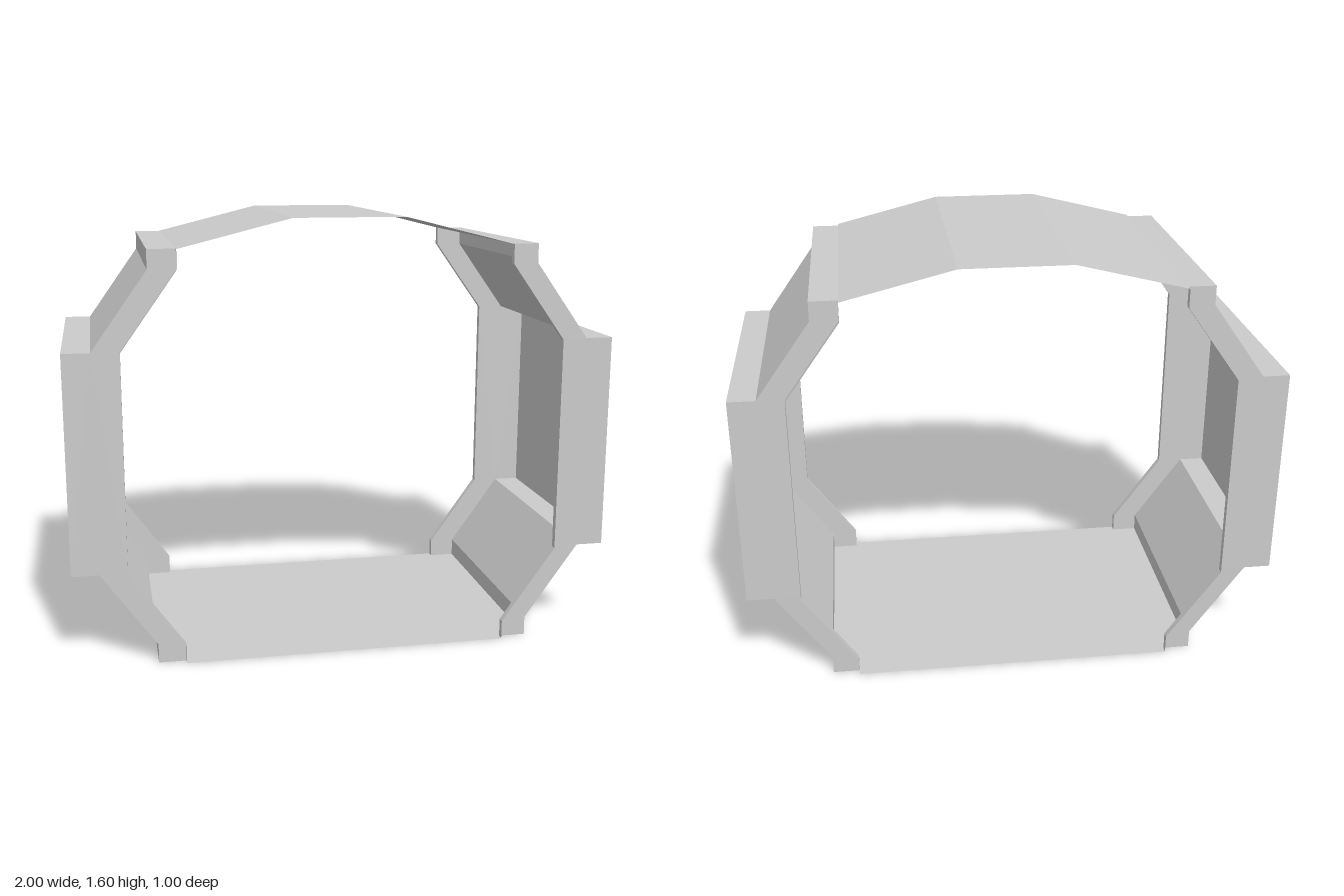
import * as THREE from 'three';

const material = new THREE.MeshStandardMaterial({ color: 0xcccccc, flatShading: true, side: THREE.DoubleSide });
const FULL = 0.5;    // half depth of the panels and lips
const CAP = 0.475;   // half depth of the side channels

// Profiles of the left side, from bottom to top, as [x, y]
const inner = [[0.6, 0], [0.6, 0.07], [0.8, 0.35], [0.8, 1.15], [0.6, 1.43], [0.6, 1.5]];
const outer = [[0.6, 0], [0.7, 0], [0.7, 0.07], [0.9, 0.35], [1, 0.35],
  [1, 1.15], [0.9, 1.15], [0.7, 1.43], [0.7, 1.5], [0.6, 1.5]];

// Thin folded sheet: a polyline in x, y swept from z0 to z1
function sheet(name, points, z0, z1) {
  const pos = [];
  for (let i = 0; i < points.length - 1; i++) {
    const [ax, ay] = points[i], [bx, by] = points[i + 1];
    pos.push(ax, ay, z1, ax, ay, z0, bx, by, z0);
    pos.push(ax, ay, z1, bx, by, z0, bx, by, z1);
  }
  const geo = new THREE.BufferGeometry();
  geo.setAttribute('position', new THREE.Float32BufferAttribute(pos, 3));
  geo.computeVertexNormals();
  const mesh = new THREE.Mesh(geo, material);
  mesh.name = name;
  return mesh;
}

// Hollow side channel, open towards the middle
function sideChannel(name, s) {
  const group = new THREE.Group();
  group.name = name;
  const flip = (pts) => {
    const out = pts.map(([x, y]) => [x * s, y]);
    return s < 0 ? out.reverse() : out;
  };
  group.add(sheet('outerSkin', flip(outer), -CAP, CAP));

  // End caps with a thin lip along their inner edge
  const outline = [...outer, ...inner.slice(1, -1).reverse()];
  const shape = new THREE.Shape(flip(outline).map(([x, y]) => new THREE.Vector2(x, y)));
  for (const end of [1, -1]) {
    const cap = new THREE.Mesh(new THREE.ShapeGeometry(shape), material);
    cap.name = end > 0 ? 'frontCap' : 'backCap';
    if (end < 0) { // turn the back cap to face backwards
      const index = cap.geometry.index.array;
      for (let i = 0; i < index.length; i += 3) [index[i], index[i + 1]] = [index[i + 1], index[i]];
      cap.geometry.computeVertexNormals();
    }
    cap.position.z = end * CAP;
    group.add(cap);
    const [z0, z1] = end > 0 ? [CAP, FULL] : [-FULL, -CAP];
    group.add(sheet(end > 0 ? 'frontLip' : 'backLip', flip(inner), z0, z1));
  }
  return group;
}

export function createModel() {
  const model = new THREE.Group();
  model.name = 'ringSection';
  model.add(sideChannel('leftChannel', 1), sideChannel('rightChannel', -1));
  // Raised roof in three facets and a flat floor
  model.add(sheet('roofPanel', [[0.6, 1.5], [0.2, 1.6], [-0.2, 1.6], [-0.6, 1.5]], -FULL, FULL));
  model.add(sheet('floorPanel', [[-0.6, 0], [0.6, 0]], -FULL, FULL));
  return model;
}
